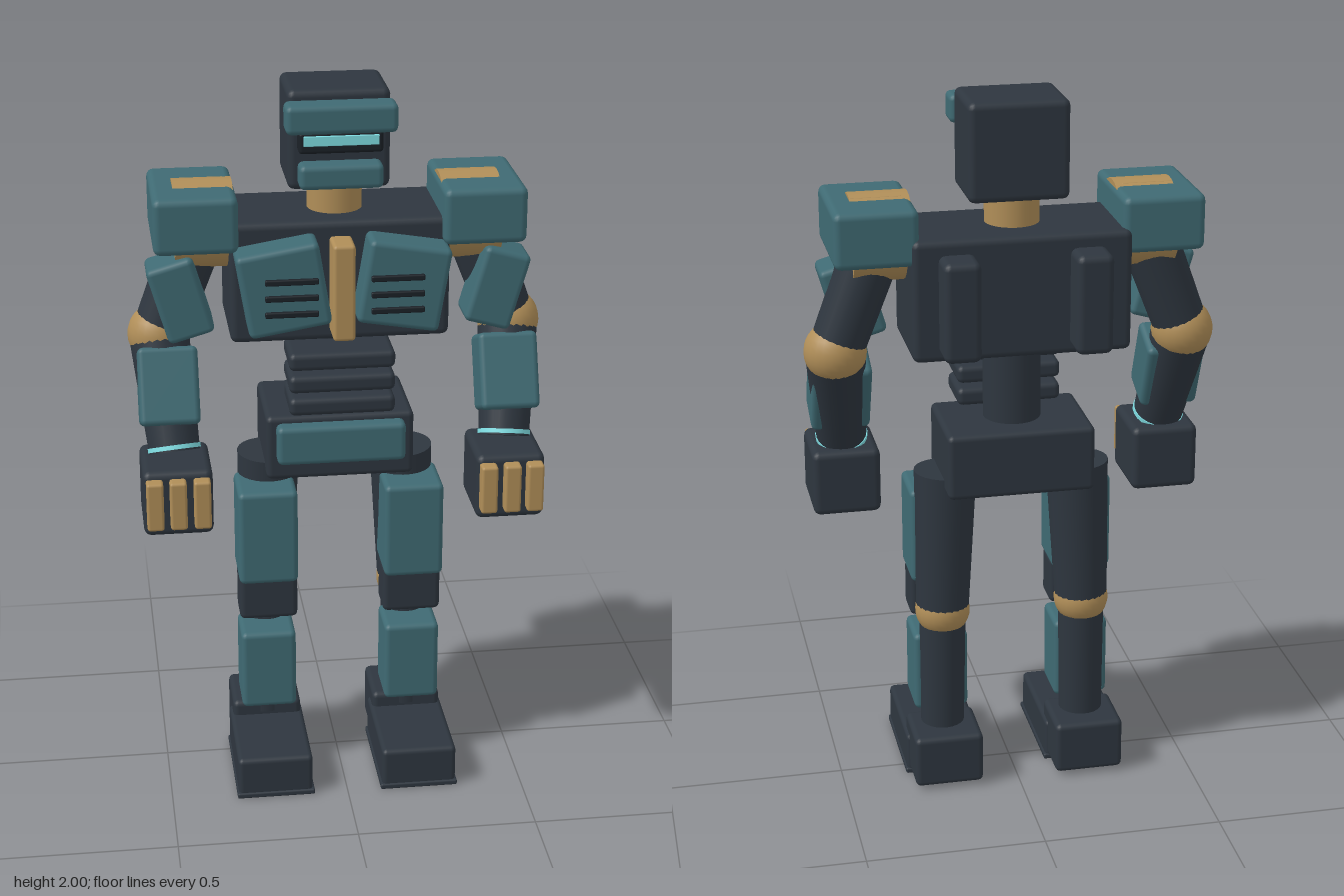
import * as THREE from 'three';
import { RoundedBoxGeometry } from 'three/addons/geometries/RoundedBoxGeometry.js';

const paint = (name, color) => {
  const m = new THREE.MeshStandardMaterial({ color });
  m.name = name;
  return m;
};

export function createModel() {
  const dark = paint('charcoal', 0x2e363f);
  const teal = paint('teal', 0x3f6a73);
  const gold = paint('brass', 0xb08e58);
  const glow = paint('cyan', 0x7fdde2);
  const black = paint('black', 0x1b2127);

  const model = new THREE.Group();
  model.name = 'robot';

  const add = (parent, name, geometry, material, x, y, z) => {
    const mesh = new THREE.Mesh(geometry, material);
    mesh.name = name;
    mesh.position.set(x, y, z);
    parent.add(mesh);
    return mesh;
  };

  // rounded box given by its extents on each axis
  const box = (parent, name, material, [x0, x1], [y0, y1], [z0, z1], r = 0.016) => {
    const w = x1 - x0, h = y1 - y0, d = z1 - z0;
    const radius = Math.min(r, Math.min(w, h, d) * 0.4);
    return add(parent, name, new RoundedBoxGeometry(w, h, d, 2, radius), material,
      (x0 + x1) / 2, (y0 + y1) / 2, (z0 + z1) / 2);
  };

  // tapered limb segment running between two points
  const limb = (parent, name, material, a, b, ra, rb) => {
    const from = new THREE.Vector3(...a), to = new THREE.Vector3(...b);
    const dir = to.clone().sub(from);
    const mid = from.clone().add(to).multiplyScalar(0.5);
    const mesh = add(parent, name, new THREE.CylinderGeometry(rb, ra, dir.length(), 24), material,
      mid.x, mid.y, mid.z);
    mesh.quaternion.setFromUnitVectors(new THREE.Vector3(0, 1, 0), dir.normalize());
    return mesh;
  };

  // extents on the x axis, mirrored for side s
  const side = (s, a, b) => (s > 0 ? [a, b] : [-b, -a]);

  // Head
  const head = new THREE.Group();
  head.name = 'head';
  model.add(head);
  box(head, 'skull', dark, [-0.137, 0.137], [1.73, 2], [-0.15, 0.07], 0.02);
  box(head, 'brow', teal, [-0.148, 0.148], [1.897, 1.975], [0.06, 0.14]);
  box(head, 'visorFrame', black, [-0.112, 0.112], [1.84, 1.9], [0.06, 0.115], 0.01);
  box(head, 'visorLight', glow, [-0.1, 0.1], [1.863, 1.89], [0.114, 0.121], 0.002);
  box(head, 'jaw', teal, [-0.112, 0.112], [1.745, 1.812], [0.06, 0.13]);
  limb(head, 'neck', gold, [0, 1.6, -0.04], [0, 1.76, -0.04], 0.075, 0.075);

  // Torso
  const torso = new THREE.Group();
  torso.name = 'torso';
  model.add(torso);
  box(torso, 'chest', dark, [-0.298, 0.298], [1.315, 1.652], [-0.197, 0.1], 0.02);
  box(torso, 'sternum', gold, [-0.03, 0.03], [1.342, 1.61], [0.08, 0.188], 0.01);
  limb(torso, 'spine', dark, [0, 1.05, -0.04], [0, 1.35, -0.04], 0.08, 0.08);
  for (const y of [1.115, 1.18, 1.245]) {
    box(torso, 'abdomenRib', dark, [-0.145, 0.145], [y, y + 0.05], [-0.01, 0.15]);
  }
  box(torso, 'pelvis', dark, [-0.205, 0.205], [0.908, 1.095], [-0.187, 0.1], 0.016);
  box(torso, 'pelvisPlate', teal, [-0.178, 0.178], [0.965, 1.077], [0.08, 0.14]);

  for (const s of [1, -1]) {
    const label = s > 0 ? 'left' : 'right';

    // Chest plate with vents, and back pack
    const plate = box(torso, label + 'ChestPlate', teal, side(s, 0.049, 0.273), [1.375, 1.607], [0.08, 0.195]);
    plate.rotation.z = -s * 0.165;
    for (const y of [1.43, 1.475, 1.52]) {
      box(torso, label + 'Vent', black, side(s, 0.07, 0.213), [y - 0.008, y + 0.008], [0.185, 0.205], 0.004);
    }
    box(torso, label + 'BackPack', dark, side(s, 0.127, 0.228), [1.337, 1.612], [-0.283, -0.17], 0.02);

    // Arm
    const arm = new THREE.Group();
    arm.name = label + 'Arm';
    model.add(arm);
    const elbow = [s * 0.485, 1.31, -0.03];
    const wrist = [s * 0.458, 1.01, 0.1];
    box(arm, 'shoulderPad', teal, side(s, 0.274, 0.5), [1.58, 1.735], [-0.186, 0.135], 0.02);
    box(arm, 'shoulderStripe', gold, side(s, 0.3, 0.44), [1.732, 1.741], [-0.055, -0.009], 0.003);
    limb(arm, 'shoulderJoint', gold, [s * 0.28, 1.625, -0.02], [s * 0.44, 1.625, -0.02], 0.12, 0.12);
    limb(arm, 'upperArm', dark, [s * 0.375, 1.6, -0.03], elbow, 0.08, 0.075);
    const armPlate = box(arm, 'upperArmPlate', teal, side(s, 0.365, 0.495), [1.333, 1.551], [-0.025, 0.105]);
    armPlate.rotation.z = -s * 0.28;
    add(arm, 'elbow', new THREE.SphereGeometry(0.086, 24, 16), gold, ...elbow);
    limb(arm, 'forearm', dark, elbow, wrist, 0.083, 0.07);
    const bracer = box(arm, 'forearmPlate', teal, side(s, 0.386, 0.55), [1.075, 1.288], [-0.02, 0.113]);
    bracer.rotation.x = -0.4;
    limb(arm, 'wristLight', glow, [s * 0.459, 1.025, 0.094], [s * 0.458, 1.014, 0.099], 0.073, 0.073);

    // Hand
    box(arm, 'hand', dark, side(s, 0.362, 0.552), [0.812, 1.0], [0.003, 0.222], 0.02);
    for (const x of [0.393, 0.458, 0.521]) {
      box(arm, 'finger', gold, side(s, x - 0.023, x + 0.023), [0.843, 0.982], [0.2, 0.256], 0.008);
    }

    // Leg
    const leg = new THREE.Group();
    leg.name = label + 'Leg';
    model.add(leg);
    const knee = [s * 0.202, 0.52, -0.045];
    limb(leg, 'thigh', dark, [s * 0.188, 0.942, -0.035], knee, 0.088, 0.075);
    box(leg, 'thighPlate', teal, side(s, 0.122, 0.288), [0.603, 0.882], [-0.04, 0.132]);
    box(leg, 'kneeGuard', dark, side(s, 0.122, 0.286), [0.48, 0.62], [0.0, 0.105]);
    add(leg, 'knee', new THREE.SphereGeometry(0.078, 24, 16), gold, ...knee);
    limb(leg, 'shin', dark, knee, [s * 0.205, 0.13, -0.04], 0.066, 0.062);
    box(leg, 'shinPlate', teal, side(s, 0.128, 0.284), [0.197, 0.435], [-0.04, 0.11]);

    // Foot
    box(leg, 'heel', dark, side(s, 0.107, 0.304), [0.012, 0.165], [-0.165, 0.018], 0.016);
    box(leg, 'foot', dark, side(s, 0.1, 0.312), [0.005, 0.122], [-0.055, 0.275], 0.014);
    box(leg, 'sole', dark, side(s, 0.095, 0.316), [0, 0.016], [-0.057, 0.28], 0.005);
  }

  return model;
}
